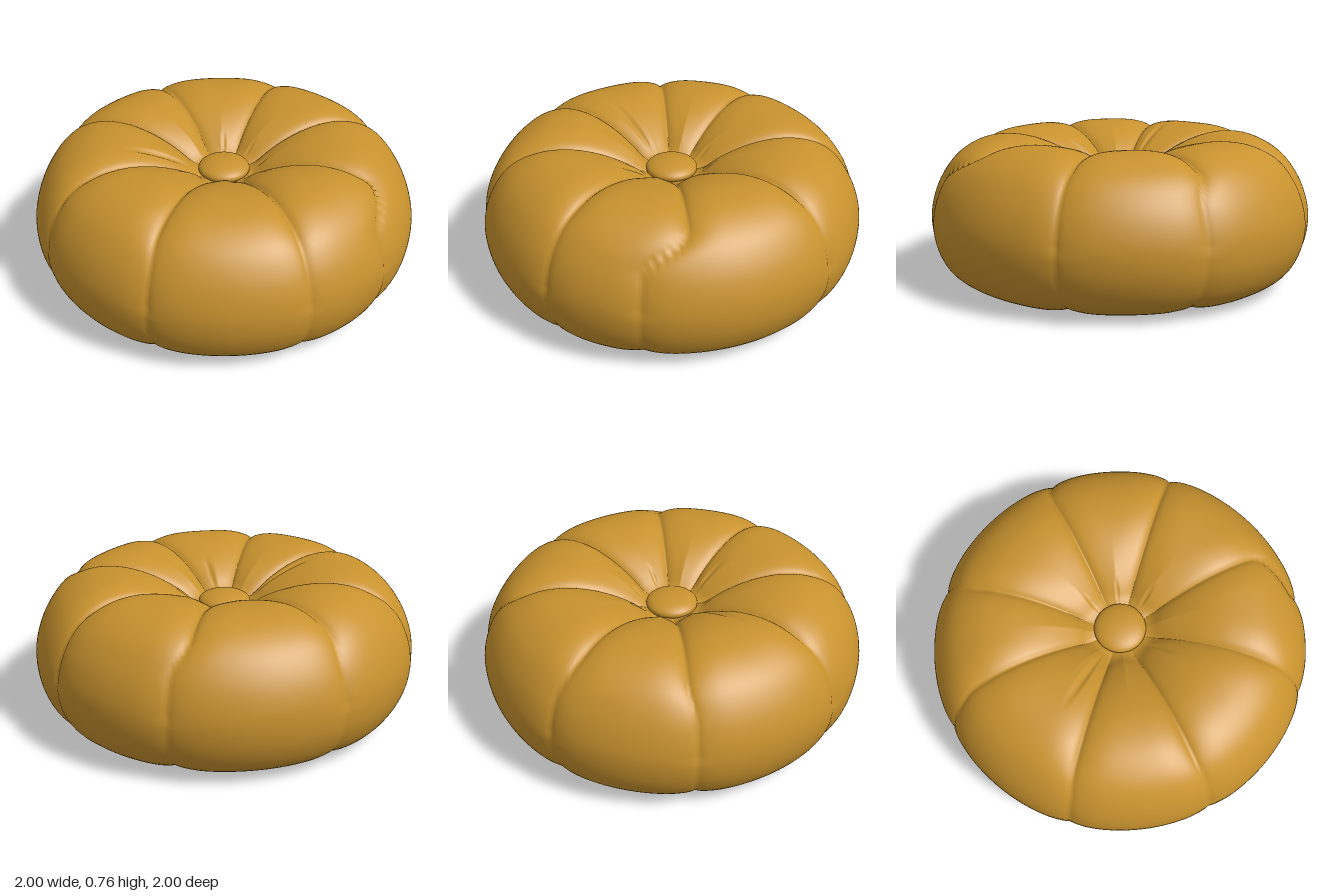
import * as THREE from 'three';

const rad = THREE.MathUtils.degToRad;
const smooth = THREE.MathUtils.smoothstep;

// Cross-section (radius, height) from the top dimple round to the bottom dimple
const PROFILE = [
  [0.08, 0.56], [0.14, 0.58], [0.2, 0.635], [0.32, 0.7], [0.45, 0.742], [0.58, 0.757],
  [0.72, 0.737], [0.85, 0.665], [0.94, 0.55], [0.99, 0.42], [1.0, 0.32], [0.98, 0.2],
  [0.92, 0.09], [0.82, 0.025], [0.7, 0.006], [0.4, 0.006], [0.25, 0.03], [0.15, 0.08], [0.08, 0.09],
];

// Seams: angle on the top, angle on the side and below (degrees from +x towards +z)
const SEAMS = [[-142, -144], [-103, -101], [-54, -50], [-9, -9], [37, 51], [80, 80], [127, 126], [170, 169]];

// Short gathers beside the buttons: angle, outer radius
const GATHERS = [[183, 0.62], [95, 0.42], [-75, 0.3], [-30, 0.3], [15, 0.32], [-120, 0.28]];

function angleGap(a, b) {
  return Math.abs(Math.atan2(Math.sin(a - b), Math.cos(a - b)));
}

// How far the padding is pulled in at one spot
function pull(theta, r, y) {
  const side = r > 0.7 ? 1 - smooth(y, 0.55, 0.72) : (y < 0.35 ? 1 : 0);
  const depth = (y > 0.35 ? 0.048 : 0.03) * (1 - 0.5 * smooth(r, 0.7, 0.95)) * smooth(r, 0.08, 0.2);
  let d = 0;
  for (const [top, low] of SEAMS) {
    const gap = r * angleGap(theta, rad(top + (low - top) * side));
    d = Math.max(d, depth * (0.6 * Math.exp(-gap / 0.022) + 0.4 * Math.exp(-((gap / 0.09) ** 2))));
  }
  for (const [angle, reach] of GATHERS) {
    const gap = r * angleGap(theta, rad(angle));
    const fade = (1 - smooth(r, reach * 0.5, reach)) * smooth(r, 0.1, 0.2);
    d = Math.max(d, 0.022 * fade * Math.exp(-((gap / 0.025) ** 2)));
  }
  return d;
}

// Padded body: the profile swept round, sunk along its normal at the seams
function cushionGeometry(around = 400, along = 84) {
  const curve = new THREE.CatmullRomCurve3(
    PROFILE.map(([r, y]) => new THREE.Vector3(r, y, 0)), false, 'centripetal');
  const positions = [], indices = [];
  for (let j = 0; j <= along; j++) {
    const p = curve.getPointAt(j / along);
    const t = curve.getTangentAt(j / along);
    for (let i = 0; i < around; i++) {
      const theta = (i / around) * Math.PI * 2;
      const d = pull(theta, p.x, p.y);
      const r = p.x + t.y * d;
      const y = p.y - t.x * d;
      positions.push(r * Math.cos(theta), y, r * Math.sin(theta));
      if (j < along) {
        const a = j * around + i, b = j * around + (i + 1) % around;
        indices.push(a, b, a + around, b, b + around, a + around);
      }
    }
  }
  const geometry = new THREE.BufferGeometry();
  geometry.setAttribute('position', new THREE.Float32BufferAttribute(positions, 3));
  geometry.setIndex(indices);
  geometry.computeVertexNormals();
  return geometry;
}

export function createModel() {
  const fabric = new THREE.MeshStandardMaterial({ color: 0xc8922e });
  fabric.name = 'ochre fabric';
  const group = new THREE.Group();
  group.name = 'pouf';

  const cushion = new THREE.Mesh(cushionGeometry(), fabric);
  cushion.name = 'cushion';
  // Make sure the skin faces outwards
  const n = cushion.geometry.getAttribute('normal'), p = cushion.geometry.getAttribute('position');
  const k = 42 * 400;
  if (n.getX(k) * p.getX(k) + n.getZ(k) * p.getZ(k) < 0) {
    cushion.geometry.setIndex(Array.from(cushion.geometry.index.array).reverse());
    cushion.geometry.computeVertexNormals();
  }
  group.add(cushion);

  // Domed buttons in the two dimples
  for (const [name, y, h] of [['topButton', 0.58, 0.05], ['bottomButton', 0.08, 0.04]]) {
    const button = new THREE.Mesh(new THREE.SphereGeometry(1, 40, 20), fabric);
    button.name = name;
    button.scale.set(0.135, h, 0.135);
    button.position.y = y;
    group.add(button);
  }
  return group;
}
